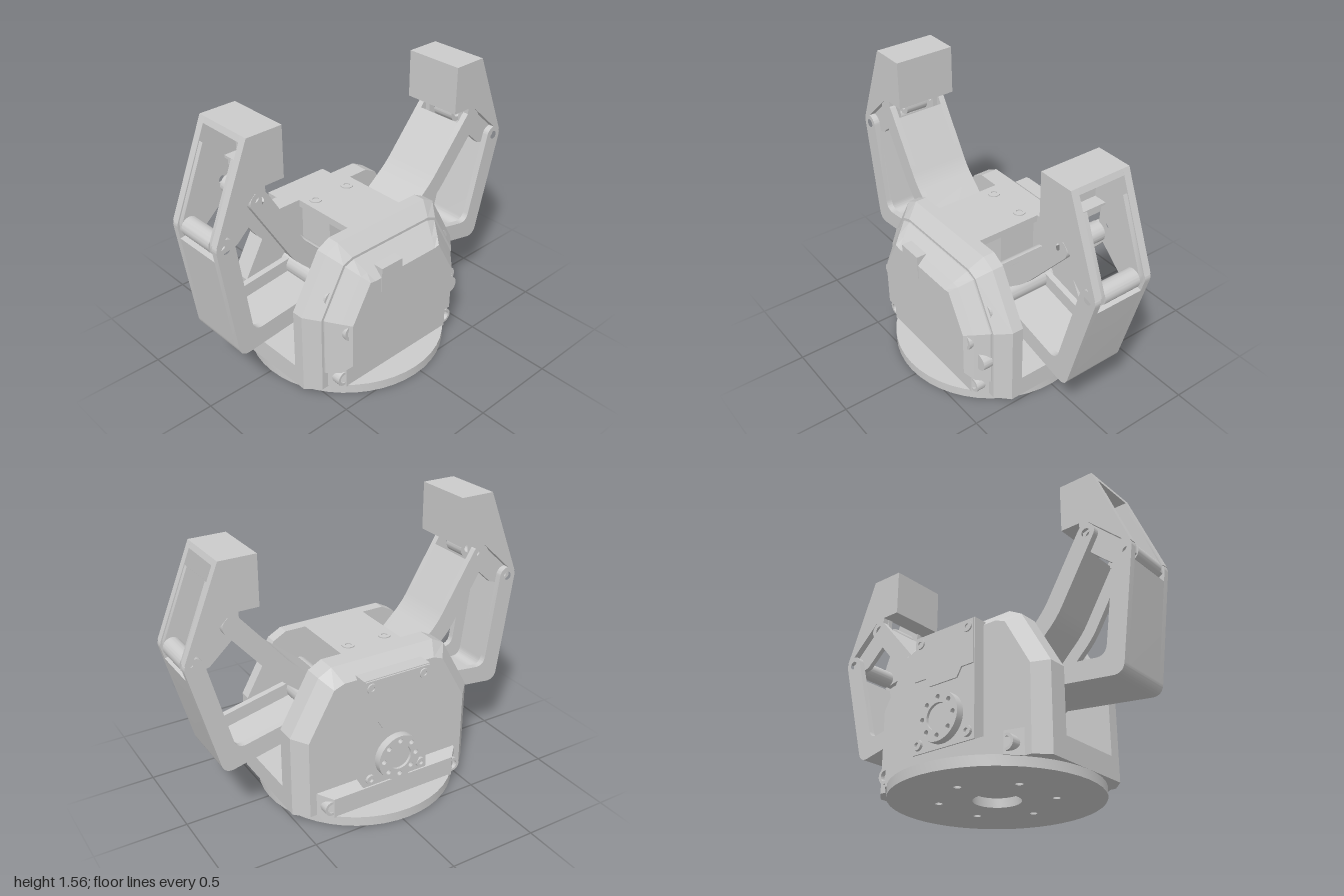
import * as THREE from 'three';
import { toCreasedNormals } from 'three/addons/utils/BufferGeometryUtils.js';

const CX = -0.04;                 // middle of the body
const Z0 = -0.155, Z1 = 0.19;     // finger width
const mat = new THREE.MeshStandardMaterial({ color: 0xcccccc, roughness: 0.7 });

function add(parent, name, geo) {
  const mesh = new THREE.Mesh(geo, mat);
  mesh.name = name;
  parent.add(mesh);
  return mesh;
}

function box(parent, name, x0, x1, y0, y1, z0, z1) {
  const m = add(parent, name, new THREE.BoxGeometry(x1 - x0, y1 - y0, z1 - z0));
  m.position.set((x0 + x1) / 2, (y0 + y1) / 2, (z0 + z1) / 2);
}

// Extrude a shape from z0 to z1, with round holes [x, y, r]
function slab(parent, name, shape, z0, z1, holes = []) {
  for (const [x, y, r] of holes) shape.holes.push(new THREE.Path().absarc(x, y, r, 0, Math.PI * 2, true));
  const geo = new THREE.ExtrudeGeometry(shape, { depth: z1 - z0, bevelEnabled: false, curveSegments: 24 });
  geo.translate(0, 0, z0);
  return add(parent, name, toCreasedNormals(geo, 0.5));
}

const polygon = pts => new THREE.Shape(pts.map(p => new THREE.Vector2(p[0], p[1])));
const circle = (x, y, r) => new THREE.Shape().absarc(x, y, r, 0, Math.PI * 2, false);
const disc = (parent, name, x, y, r, z0, z1, holes) => slab(parent, name, circle(x, y, r), z0, z1, holes);

// Skin a row of convex rings (counter-clockwise seen from +z, z rising)
function loft(parent, name, rings) {
  const n = rings[0].length, pos = rings.flat(2), idx = [];
  for (let k = 0; k < rings.length - 1; k++)
    for (let i = 0; i < n; i++) {
      const a = k * n + i, b = k * n + (i + 1) % n;
      idx.push(a, b, b + n, a, b + n, a + n);
    }
  const last = (rings.length - 1) * n;
  for (let i = 1; i < n - 1; i++) idx.push(0, i + 1, i, last, last + i, last + i + 1);
  const geo = new THREE.BufferGeometry();
  geo.setAttribute('position', new THREE.Float32BufferAttribute(pos, 3));
  geo.setIndex(idx);
  const flat = geo.toNonIndexed();
  flat.computeVertexNormals();
  add(parent, name, flat);
}

// Body outline inset by d
function outline(d, z, bottom = 0.05) {
  const half = [[0.555 - d, bottom], [0.555 - d, 0.52 - 0.27 * d], [0.385 - 0.73 * d, 0.82 - 0.75 * d], [0.31 - 0.5 * d, 0.86 - d]];
  const right = half.map(([x, y]) => [CX + x, y, z]);
  const left = half.map(([x, y]) => [CX - x, y, z]).reverse();
  return [...right, ...left];
}
const rect = (h, y0, y1, z) => [[CX + h, y0, z], [CX + h, y1, z], [CX - h, y1, z], [CX - h, y0, z]];

// Screw head with a socket, facing +z or -z
function screw(parent, x, y, r, z, face = 1) {
  const [a, b] = face > 0 ? [z - 0.06, z] : [z, z + 0.06];
  disc(parent, 'screwCollar', x, y, r, a, b, [[x, y, r * 0.65]]);
  const c = face > 0 ? z - 0.06 : z + 0.02;
  disc(parent, 'screwHead', x, y, r * 0.5, c, c + 0.04);
}

// Three-point path shifted sideways, with a mitred bend
function shift(path, d) {
  const v = path.map(p => new THREE.Vector2(...p));
  const normal = (a, b) => { const t = b.clone().sub(a).normalize(); return new THREE.Vector2(-t.y, t.x); };
  const n1 = normal(v[0], v[1]), n2 = normal(v[1], v[2]);
  const m = n1.clone().add(n2).divideScalar(1 + n1.dot(n2));
  return [v[0].addScaledVector(n1, d), v[1].addScaledVector(m, d), v[2].addScaledVector(n2, d)];
}

// Draw a shifted path with its bend rounded
function trace(shape, [a, b, c], first, r = 0.06) {
  const p = b.clone().add(a.clone().sub(b).setLength(r));
  const q = b.clone().add(c.clone().sub(b).setLength(r));
  first ? shape.moveTo(a.x, a.y) : shape.lineTo(a.x, a.y);
  shape.lineTo(p.x, p.y);
  shape.quadraticCurveTo(b.x, b.y, q.x, q.y);
  shape.lineTo(c.x, c.y);
}

// Bent channel link: two side plates and a web along one edge
function link(parent, name, path, side) {
  const g = new THREE.Group();
  g.name = name;
  parent.add(g);
  const w = 0.052, t = 0.035;
  const outer = () => {
    const s = new THREE.Shape(), L = shift(path, w), R = shift(path, -w).reverse();
    const ang = (p, c) => Math.atan2(p.y - c[1], p.x - c[0]);
    trace(s, L, true);
    s.absarc(...path[2], w, ang(L[2], path[2]), ang(R[0], path[2]), true);
    trace(s, R, false);
    s.absarc(...path[0], w, ang(R[2], path[0]), ang(L[0], path[0]), true);
    return s;
  };
  const holes = [[...path[0], 0.024]];
  slab(g, 'sidePlate', outer(), Z0, Z0 + t, holes);
  slab(g, 'sidePlate', outer(), Z1 - t, Z1, holes);
  const start = new THREE.Vector2(...path[0]), toBend = new THREE.Vector2(...path[1]).sub(start).setLength(0.06);
  const short = [start.add(toBend).toArray(), path[1], path[2]];
  const web = new THREE.Shape();
  trace(web, shift(short, side * w), true);
  trace(web, shift(short, side * (w - 0.03)).reverse(), false);
  slab(g, 'web', web, Z0 + t, Z1 - t);
  disc(g, 'rootShaft', ...path[2], 0.065, -0.18, 0.22);
}

// Hollow fingertip, open on its sloping outer face
function fingertip(parent, name, map) {
  const g = new THREE.Group();
  g.name = name;
  parent.add(g);
  const shell = [[-0.6, 1.56], [-0.6, 1.29], [-0.71, 1.29], [-0.71, 1.25], [-0.77, 1.27], [-0.98, 1.075], [-1, 1.075], [-0.8, 1.56]];
  const frame = [[-0.6, 1.56], [-0.6, 1.29], [-0.71, 1.29], [-0.71, 1.33], [-0.64, 1.33], [-0.64, 1.53], [-0.812, 1.53], [-0.8, 1.56]];
  const tongue = [[-0.84, 1.45], [-0.99, 1.08], [-0.99, 1.03], [-0.95, 1.0], [-0.86, 1.02], [-0.705, 1.16], [-0.705, 1.31]];
  const pivots = [[-0.95, 1.05], [-0.745, 1.22]].map(map);
  const holes = pivots.map(p => [...p, 0.024]);
  for (const [a, b] of [[Z0, Z0 + 0.04], [Z1 - 0.04, Z1]]) slab(g, 'shellWall', polygon(shell.map(map)), a, b);
  slab(g, 'padAndRim', polygon(frame.map(map)), Z0 + 0.04, Z1 - 0.04);
  for (const [a, b] of [[-0.118, -0.09], [0.125, 0.153]]) slab(g, 'tongue', polygon(tongue.map(map)), a, b, holes);
  disc(g, 'outerBarrel', ...pivots[0], 0.05, -0.09, 0.125, [holes[0]]);
  disc(g, 'innerBarrel', ...pivots[1], 0.05, -0.045, 0.085, [holes[1]]);
}

export function createModel() {
  const model = new THREE.Group();
  model.name = 'gripper';

  // Round mounting flange with bolt circle
  const bolts = [[CX, 0, 0.125]];
  for (let i = 0; i < 6; i++) {
    const a = Math.PI / 6 + i * Math.PI / 3;
    bolts.push([CX + 0.3 * Math.cos(a), 0.3 * Math.sin(a), 0.02]);
  }
  const base = slab(model, 'baseFlange', new THREE.Shape().absarc(CX, 0, 0.555, 0, Math.PI * 2, false), 0, 0.055, bolts);
  base.geometry.rotateX(-Math.PI / 2);

  // Body: front and back cheeks, floor and top bridge
  const body = new THREE.Group();
  body.name = 'body';
  model.add(body);
  loft(body, 'frontCheek', [outline(0, 0.21), outline(0, 0.275), outline(0.07, 0.345)]);
  loft(body, 'backCheek', [outline(0.07, -0.345), outline(0, -0.275), outline(0, -0.17)]);
  box(body, 'floor', CX - 0.555, CX + 0.555, 0.05, 0.17, -0.17, 0.21);
  box(body, 'topBridge', -0.22, 0.15, 0.82, 0.86, -0.17, 0.21);
  box(body, 'motor', -0.2, 0.12, 0.17, 0.82, -0.17, 0.05);
  disc(body, 'pinion', CX, 0.32, 0.14, 0.05, 0.18);
  for (const x of [-0.155, 0.07]) {
    const ring = disc(body, 'topScrew', 0, 0, 0.034, 0, 0.008, [[0, 0, 0.017]]);
    ring.rotation.x = -Math.PI / 2;
    ring.position.set(x, 0.858, -0.11);
  }

  // Front cover, tab and cable plug
  loft(body, 'frontCover', [outline(0.085, 0.34, 0.16), outline(0.085, 0.352, 0.16), outline(0.145, 0.415, 0.165), outline(0.185, 0.455, 0.21)]);
  box(body, 'coverTab', -0.215, -0.07, 0.59, 0.73, 0.38, 0.459);
  disc(body, 'cablePlug', 0.39, 0.3, 0.05, 0.34, 0.4);

  // Lower brackets and screws
  loft(body, 'frontBracket', [rect(0.46, 0.05, 0.17, 0.33), rect(0.38, 0.05, 0.165, 0.415)]);
  loft(body, 'backBracket', [rect(0.38, 0.05, 0.165, -0.415), rect(0.46, 0.05, 0.19, -0.33)]);
  for (const s of [-1, 1]) {
    screw(body, CX + s * 0.36, 0.42, 0.05, 0.44);
    screw(body, CX + s * 0.39, 0.11, 0.042, 0.412);
    screw(body, CX + s * 0.39, 0.11, 0.042, -0.412, -1);
    screw(body, CX + s * 0.41, 0.6, 0.04, 0.335);
  }

  // Rear servo: case, raised panels, horn and corner screws
  const servo = new THREE.Group();
  servo.name = 'rearServo';
  model.add(servo);
  box(servo, 'servoCase', -0.24, 0.16, 0.17, 0.81, -0.412, -0.33);
  const panel = [[-0.235, 0.805], [-0.235, 0.56], [-0.16, 0.56], [-0.13, 0.51], [0.05, 0.51], [0.08, 0.56], [0.155, 0.56], [0.155, 0.805]];
  slab(servo, 'servoLid', polygon(panel), -0.42, -0.41);
  const hornHoles = [[CX, 0.32, 0.07]];
  for (let i = 0; i < 8; i++) {
    const a = i * Math.PI / 4;
    hornHoles.push([CX + 0.1 * Math.cos(a), 0.32 + 0.1 * Math.sin(a), 0.014]);
  }
  disc(servo, 'servoHorn', CX, 0.32, 0.13, -0.455, -0.41, hornHoles);
  disc(servo, 'hornHub', CX, 0.32, 0.07, -0.44, -0.41);
  for (const s of [-1, 1])
    for (const y of [0.215, 0.765]) disc(servo, 'servoScrew', CX + s * 0.16, y, 0.028, -0.428, -0.41, [[CX + s * 0.16, y, 0.013]]);

  // Fingers: each has an outer link, an inner link and a tip
  const rightFinger = new THREE.Group(), leftFinger = new THREE.Group();
  rightFinger.name = 'rightFinger';
  leftFinger.name = 'leftFinger';
  model.add(rightFinger, leftFinger);
  link(rightFinger, 'outerLink', [[-0.95, 1.05], [-0.868, 0.455], [-0.3, 0.52]], -1);
  link(rightFinger, 'innerLink', [[-0.745, 1.22], [-0.515, 0.84], [-0.28, 0.61]], 1);
  fingertip(rightFinger, 'fingertip', p => p);
  link(leftFinger, 'outerLink', [[0.94, 0.983], [0.79, 0.41], [0.24, 0.535]], 1);
  link(leftFinger, 'innerLink', [[0.735, 1.153], [0.455, 0.825], [0.2, 0.62]], -1);
  fingertip(leftFinger, 'fingertip', ([x, y]) => [-x - 0.01, y - 0.067]);
  return model;
}
